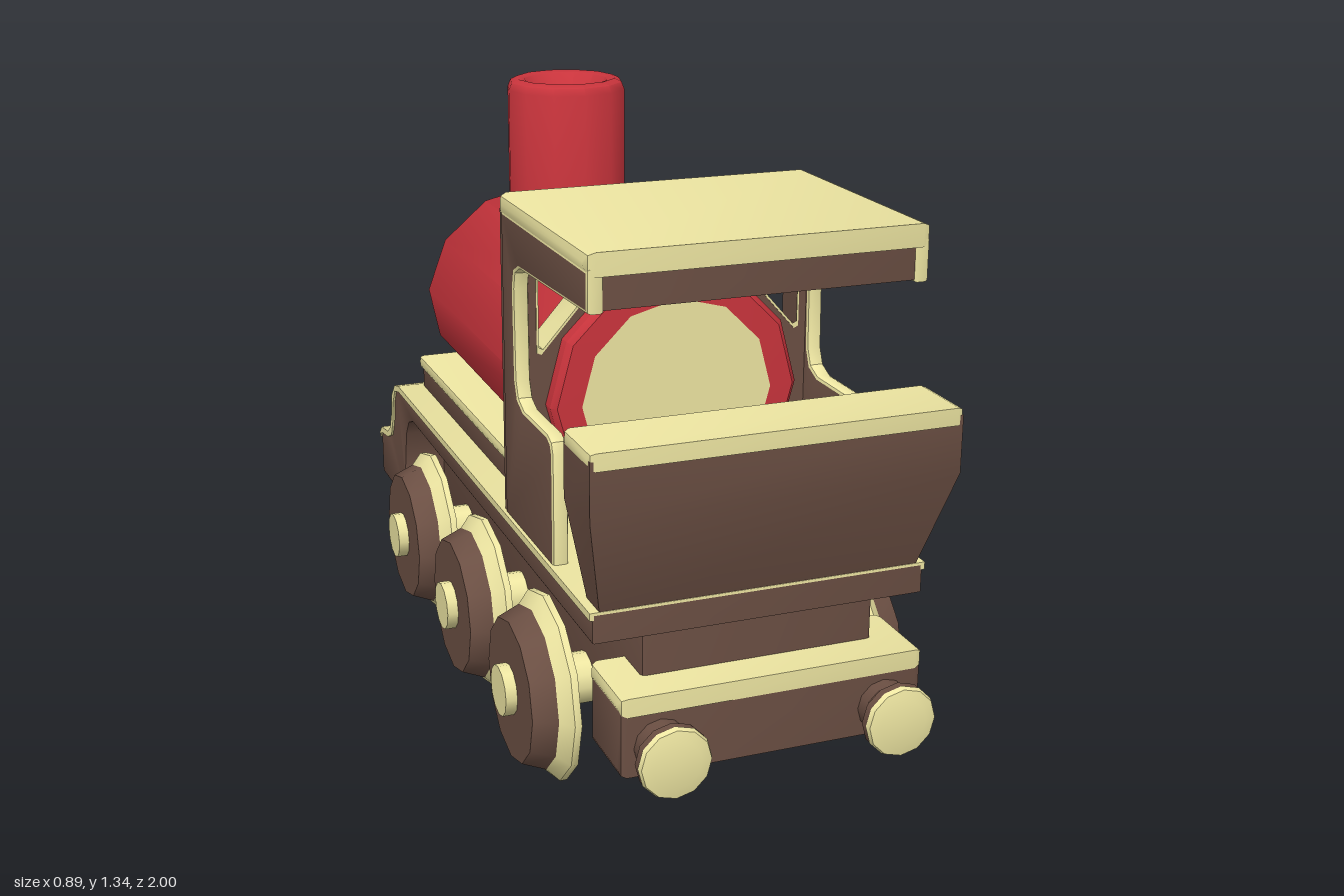
import * as THREE from 'three';
import { toCreasedNormals } from 'three/addons/utils/BufferGeometryUtils.js';

const mat = (color) => new THREE.MeshStandardMaterial({ color });

export function createModel() {
  const train = new THREE.Group();
  train.name = 'toyTrain';
  const red = mat(0xc9343c), cream = mat(0xeee6a2), brown = mat(0x6b4f43);

  const add = (name, geo, material, crease = 0.7) => {
    const mesh = new THREE.Mesh(toCreasedNormals(geo, crease), material);
    mesh.name = name;
    train.add(mesh);
    return mesh;
  };
  const toPoints = (list) => list.map(([a, b]) => new THREE.Vector2(a, b));

  // Extrusion with the bevel kept inside the outline
  const extrude = (shape, depth, bevel) => {
    const geo = new THREE.ExtrudeGeometry(shape, {
      depth: depth - 2 * bevel, bevelEnabled: bevel > 0, bevelThickness: bevel,
      bevelSize: bevel, bevelOffset: -bevel, bevelSegments: 2,
    });
    return geo.translate(0, 0, bevel - depth / 2);
  };
  // Profile given as (z, y), extruded across x
  const across = (list, width, x = 0, bevel = 0.008) =>
    extrude(new THREE.Shape(toPoints(list)), width, bevel).rotateY(-Math.PI / 2).translate(x, 0, 0);
  // Bevelled block from limits
  const block = (hx, y0, y1, z0, z1, bevel) => {
    const rect = [[z0, y0], [z1, y0], [z1, y1], [z0, y1]];
    return across(rect, hx * 2, 0, bevel);
  };
  // Turned part about y, profile as (radius, height)
  const turned = (list, sides = 12) => new THREE.LatheGeometry(toPoints(list), sides);

  // Chassis, and a footplate that sweeps down to the buffer beam
  add('chassis', block(0.25, 0.2, 0.47, -0.64, 0.83, 0.01), brown);
  const sweep = [[0.84, 0.515], [-0.65, 0.515], [-0.69, 0.505], [-0.725, 0.47], [-0.738, 0.41],
    [-0.76, 0.365], [-0.79, 0.345], [-0.86, 0.335], [-0.88, 0.315]];
  add('footplate', across([[0.84, 0.45], ...sweep.map(([z, y]) => [z, y - 0.006]), [-0.88, 0.2],
    [-0.61, 0.2], [-0.625, 0.29], [-0.6, 0.4], [-0.57, 0.44], [-0.53, 0.455]], 0.71, 0, 0.004), brown);
  const under = sweep.map(([z, y], i) => [z + (i > 2 && i < 6 ? 0.014 : 0), y - 0.016]).reverse();
  add('footplateTop', across([...sweep, ...under], 0.72, 0, 0), cream);
  add('boilerBase', block(0.295, 0.5, 0.575, -0.64, 0.28, 0.008), brown);
  add('boilerBaseTop', block(0.3, 0.56, 0.59, -0.655, 0.28, 0.01), cream);

  // Boiler with a leaning nose
  const boilerY = 0.77, slope = 0.29;
  const lean = (geo) => {
    geo.rotateX(Math.PI / 2);
    const p = geo.attributes.position;
    for (let i = 0; i < p.count; i++) {
      if (p.getZ(i) < -0.5) p.setZ(i, p.getZ(i) + slope * p.getY(i));
    }
    return geo.translate(0, boilerY, 0);
  };
  add('boiler', lean(turned([[0.215, -0.665], [0.255, -0.657], [0.272, -0.64], [0.282, 0.375],
    [0.27, 0.388], [0.215, 0.39]])), red, 0.8);
  add('boilerNose', lean(turned([[0, -0.666], [0.216, -0.666]])), cream);
  add('boilerBackplate', lean(turned([[0.216, 0.391], [0, 0.391]])), cream);

  // Chimney
  const chimneyZ = -0.335;
  add('chimney', turned([[0.142, 0.93], [0.142, 1.32], [0.135, 1.337], [0.118, 1.345], [0.1, 1.34],
    [0.06, 1.27]]).translate(0, 0, chimneyZ), red, 0.8);
  add('chimneyFloor', turned([[0.062, 1.272], [0, 1.272]]).translate(0, 0, chimneyZ), cream);

  // Cab sides with cream edges
  const side = [[0.275, 0.5], [0.6, 0.5], [0.6, 0.75], [0.59, 0.775], [0.565, 0.785], [0.41, 0.785],
    [0.375, 0.8], [0.36, 0.835], [0.355, 1.03], [0.365, 1.065], [0.395, 1.08], [0.81, 1.095],
    [0.81, 1.18], [0.275, 1.18]];
  for (const s of [1, -1]) {
    add('cabSide', across(side, 0.034, s * 0.335, 0.008), [brown, cream]);
  }

  // Cab wall with two windows
  const wall = new THREE.Shape(toPoints([[-0.35, 0.5], [0.35, 0.5], [0.35, 1.18], [-0.35, 1.18]]));
  const pane = [[0.165, 1.05], [0.175, 1.075], [0.2, 1.082], [0.285, 1.082], [0.3, 1.07],
    [0.3, 0.885], [0.29, 0.88], [0.175, 1.01]];
  for (const s of [1, -1]) wall.holes.push(new THREE.Path(toPoints(pane.map(([x, y]) => [s * x, y]))));
  const wallGeo = extrude(wall, 0.08, 0).translate(0, 0, 0.305);
  add('cabWall', wallGeo, brown);
  // Window linings
  for (const s of [1, -1]) {
    const centre = [0.245, 1.02];
    const lining = new THREE.Shape(toPoints(pane.map(([x, y]) => [s * x, y])));
    lining.holes.push(new THREE.Path(toPoints(pane.map(([x, y]) =>
      [s * (x + (centre[0] - x) * 0.08), y + (centre[1] - y) * 0.08]))));
    add('windowLining', extrude(lining, 0.084, 0).translate(0, 0, 0.305), cream);
  }

  // Roof
  add('roof', block(0.35, 1.1, 1.185, 0.268, 0.808, 0.008), brown);
  add('roofTop', block(0.355, 1.165, 1.212, 0.263, 0.813, 0.02), cream);

  // Bunker that flares outwards towards its top
  const bunker = new THREE.BoxGeometry(2, 2, 1, 1, 2, 1);
  const bp = bunker.attributes.position;
  const levels = [[0.49, 0.335, 0.83], [0.73, 0.385, 0.914], [0.85, 0.385, 0.914]];
  for (let i = 0; i < bp.count; i++) {
    const [y, hx, zBack] = levels[Math.round(bp.getY(i)) + 1];
    bp.setXYZ(i, bp.getX(i) * hx, y, bp.getZ(i) > 0 ? zBack : 0.767);
  }
  add('bunker', bunker, brown, 0.4);
  add('bunkerTop', block(0.387, 0.83, 0.866, 0.764, 0.916, 0.014), cream);

  // Rear beam
  add('rearBeam', block(0.325, 0.19, 0.34, 0.74, 0.91, 0.015), brown);
  add('rearBeamTop', block(0.325, 0.32, 0.36, 0.735, 0.912, 0.016), cream);

  // Buffers at both ends
  for (const end of [1, -1]) {
    for (const s of [1, -1]) {
      const place = (geo) => geo.rotateX(end * Math.PI / 2).translate(s * 0.24, 0.25, 0);
      add('bufferStem', place(turned([[0.056, 0.85], [0.056, 0.94], [0.045, 0.95], [0.045, 0.963],
        [0.075, 0.965], [0.075, 0.985]])), brown);
      add('bufferFace', place(turned([[0.076, 0.983], [0.072, 0.993], [0.05, 0.998], [0, 1]])), cream);
    }
  }

  // Wheels and axles
  for (const z of [0.505, 0.055, -0.395]) {
    for (const s of [1, -1]) {
      const place = (geo) => geo.rotateZ(-s * Math.PI / 2).translate(0, 0.205, z);
      add('wheelRim', place(turned([[0, 0.33], [0.203, 0.33], [0.203, 0.345], [0.173, 0.372]])), cream);
      add('wheelDisc', place(turned([[0.176, 0.368], [0.155, 0.42], [0, 0.42]])), brown);
    }
    add('axle', new THREE.CylinderGeometry(0.055, 0.055, 0.89, 12).rotateZ(Math.PI / 2)
      .translate(0, 0.208, z), cream);
  }
  return train;
}
